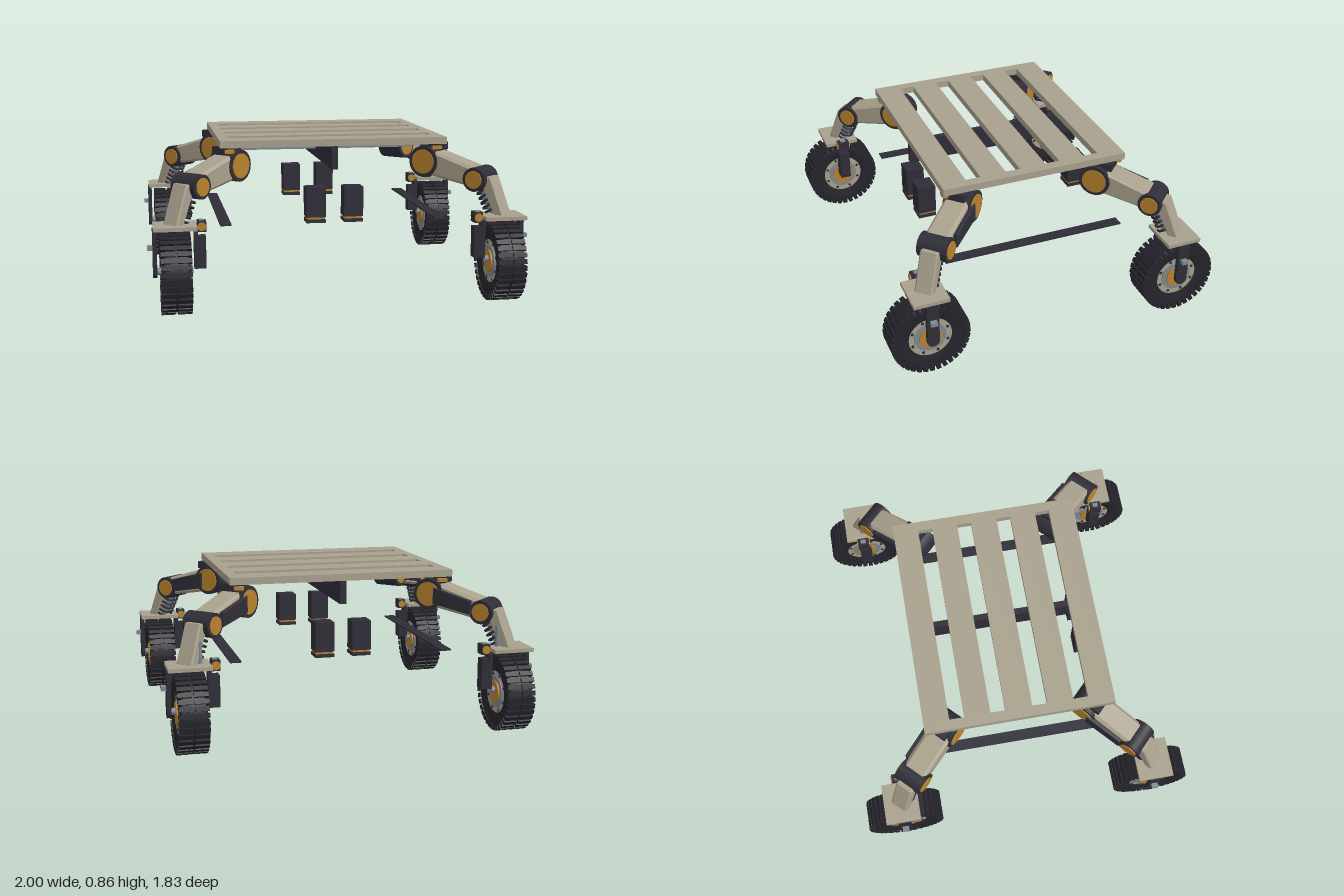
import * as THREE from 'three';

const mat = (name, color) => {
  const m = new THREE.MeshStandardMaterial({ color });
  m.name = name;
  return m;
};

export function createModel() {
  const beige = mat('beige panel', 0xa9a18d);
  const dark = mat('dark metal', 0x2f2e38);
  const rubber = mat('black rubber', 0x25242c);
  const gold = mat('gold cap', 0xb8822e);
  const steel = mat('blue grey steel', 0x7d8890);
  const model = new THREE.Group();
  model.name = 'rover';

  const add = (parent, name, geo, material, x = 0, y = 0, z = 0) => {
    const mesh = new THREE.Mesh(geo, material);
    mesh.name = name;
    mesh.position.set(x, y, z);
    parent.add(mesh);
    return mesh;
  };
  const box = (w, h, d) => new THREE.BoxGeometry(w, h, d);
  const cylX = (r, len, n = 32) => new THREE.CylinderGeometry(r, r, len, n).rotateZ(Math.PI / 2);
  const cylZ = (r, len, n = 32) => new THREE.CylinderGeometry(r, r, len, n).rotateX(Math.PI / 2);
  const rect = (C, x0, y0, x1, y1) => {
    const s = new C();
    s.moveTo(x0, y0);
    s.lineTo(x1, y0);
    s.lineTo(x1, y1);
    s.lineTo(x0, y1);
    s.closePath();
    return s;
  };
  // side profile extruded across, with bevelled edges
  const slab = (pts, width, bevel) => {
    const shape = new THREE.Shape(pts.map(p => new THREE.Vector2(...p)));
    const depth = width - 2 * bevel;
    return new THREE.ExtrudeGeometry(shape, {
      depth, bevelThickness: bevel, bevelSize: bevel, bevelOffset: -bevel, bevelSegments: 1,
    }).translate(0, 0, -depth / 2);
  };

  // Slotted deck
  const deckShape = rect(THREE.Shape, -0.61, -0.51, 0.61, 0.51);
  for (const c of [-0.332, -0.112, 0.112, 0.332]) {
    deckShape.holes.push(rect(THREE.Path, -0.555, c - 0.04, 0.555, c + 0.04));
  }
  add(model, 'deck', new THREE.ExtrudeGeometry(deckShape, { depth: 0.038, bevelEnabled: false })
    .rotateX(-Math.PI / 2), beige, 0, 0.817, 0);
  add(model, 'centreBeam', box(0.034, 0.127, 1.0), dark, 0, 0.754, 0);

  // Under-deck rails, hanging boxes and side strips
  for (const sx of [-1, 1]) {
    add(model, 'sideStrip', box(0.06, 0.008, 1.02), dark, sx * 0.585, 0.409, 0);
    for (const sz of [-1, 1]) {
      add(model, 'crossRail', box(0.42, 0.026, 0.03), steel, sx * 0.27, 0.785, sz * 0.22);
      add(model, 'batteryBox', box(0.104, 0.16, 0.1), dark, sx * 0.102, 0.515, sz * 0.455);
      add(model, 'batteryTrim', box(0.094, 0.012, 0.09), gold, sx * 0.102, 0.43, sz * 0.455);
      add(model, 'batteryBase', box(0.104, 0.018, 0.1), dark, sx * 0.102, 0.414, sz * 0.455);
    }
  }

  // Wheel with its axle along x
  const tyrePts = [[0.115, -0.06], [0.17, -0.072], [0.192, -0.066], [0.198, -0.05],
    [0.198, 0.05], [0.192, 0.066], [0.17, 0.072], [0.115, 0.06]];
  const tyreGeo = new THREE.LatheGeometry(tyrePts.map(p => new THREE.Vector2(...p)), 64)
    .rotateZ(Math.PI / 2);
  const lugGeo = box(0.072, 0.03, 0.024);
  const makeWheel = () => {
    const wheel = new THREE.Group();
    wheel.name = 'wheel';
    const tyre = add(wheel, 'tyre', tyreGeo, rubber);
    tyre.material = tyreMaterial;
    const lugs = 36;
    for (let i = 0; i < lugs; i++) {
      for (const side of [-1, 1]) {
        const a = (i / lugs) * Math.PI * 2;
        const lug = add(wheel, 'treadLug', lugGeo, rubber,
          side * 0.041, Math.cos(a) * 0.195, Math.sin(a) * 0.195);
        lug.rotation.x = a;
      }
    }
    add(wheel, 'rim', cylX(0.118, 0.11, 48), beige);
    add(wheel, 'rimRing', cylX(0.085, 0.122, 40), steel);
    add(wheel, 'hub', cylX(0.06, 0.14), gold);
    for (let i = 0; i < 8; i++) {
      const a = ((i + 0.5) / 8) * Math.PI * 2;
      add(wheel, 'rimBolt', cylX(0.008, 0.118, 10), dark, 0, Math.cos(a) * 0.101, Math.sin(a) * 0.101);
    }
    return wheel;
  };
  const tyreMaterial = rubber;
  tyreMaterial.side = THREE.DoubleSide;

  // Coil spring between two points of the leg plane
  const top = new THREE.Vector3(0.985, 0.61, 0), foot = new THREE.Vector3(1.06, 0.46, 0);
  const dir = foot.clone().sub(top);
  const across = new THREE.Vector3(-dir.y, dir.x, 0).normalize();
  const turns = 6, coilPts = [];
  for (let i = 0; i <= turns * 12; i++) {
    const a = (i / 12) * Math.PI * 2;
    coilPts.push(top.clone().addScaledVector(dir, i / (turns * 12))
      .addScaledVector(across, Math.cos(a) * 0.04)
      .add(new THREE.Vector3(0, 0, Math.sin(a) * 0.04)));
  }
  const coilGeo = new THREE.TubeGeometry(new THREE.CatmullRomCurve3(coilPts), 140, 0.007, 6);
  const damperGeo = new THREE.TubeGeometry(new THREE.LineCurve3(top, foot), 1, 0.018, 12);

  const armGeo = slab([[0.68, 0.645], [0.97, 0.595], [0.96, 0.705], [0.665, 0.79]], 0.135, 0.015);
  const shinGeo = slab([[1.085, 0.455], [1.14, 0.455], [1.06, 0.66], [0.985, 0.66]], 0.1, 0.008);
  const guardGeo = slab([[0.7, 0.665], [0.92, 0.625], [0.92, 0.7], [0.7, 0.755]], 0.022, 0.003);

  for (const sx of [-1, 1]) for (const sz of [-1, 1]) {
    // Diagonal leg, local x pointing outwards
    const leg = new THREE.Group();
    leg.name = 'leg';
    leg.position.set(sx * 0.08, 0, -sz * 0.08);
    leg.rotation.y = -Math.atan2(sz, sx);
    model.add(leg);
    for (const [name, s, y, r, len, cap] of [
      ['shoulder', 0.665, 0.715, 0.085, 0.15, 0.066],
      ['knee', 0.976, 0.642, 0.064, 0.16, 0.047],
    ]) {
      add(leg, name, cylZ(r, len, 40), dark, s, y, 0);
      add(leg, name + 'Cap', cylZ(cap, len + 0.012), gold, s, y, 0);
    }
    add(leg, 'upperArm', armGeo, beige);
    add(leg, 'armGuard', guardGeo, dark, 0, 0, -sx * 0.08);
    add(leg, 'lowerArm', shinGeo, beige);
    add(leg, 'coilSpring', coilGeo, dark);
    add(leg, 'damper', damperGeo, steel);
    add(leg, 'deckBracket', box(0.12, 0.04, 0.1), dark, 0.69, 0.797, 0);
    add(model, 'bracketClip', box(0.05, 0.018, 0.03), gold, sx * 0.56, 0.797, sz * 0.49);

    // Steering fork and wheel
    const fork = new THREE.Group();
    fork.name = 'fork';
    fork.position.set(sx * 0.86, 0, sz * 0.705);
    model.add(fork);
    add(fork, 'forkPlate', box(0.22, 0.02, 0.19), beige, 0, 0.452, 0);
    add(fork, 'outerBlade', box(0.022, 0.225, 0.065), dark, sx * 0.103, 0.33, 0);
    add(fork, 'outerBladeTip', cylX(0.0325, 0.022, 24), dark, sx * 0.103, 0.222, 0);
    add(fork, 'axle', cylX(0.018, 0.2, 20), steel, sx * 0.01, 0.222, 0);
    add(fork, 'bladePin', box(0.04, 0.022, 0.035), steel, sx * 0.12, 0.345, 0);
    add(fork, 'innerBlade', box(0.02, 0.21, 0.065), dark, -sx * 0.105, 0.34, 0);
    add(fork, 'motor', box(0.04, 0.165, 0.06), dark, -sx * 0.135, 0.318, 0);
    add(fork, 'motorHousing', box(0.045, 0.055, 0.065), dark, -sx * 0.135, 0.452, 0);
    add(fork, 'motorCap', cylZ(0.022, 0.076, 20), gold, -sx * 0.135, 0.452, 0);
    add(fork, 'motorPlate', box(0.024, 0.008, 0.03), steel, -sx * 0.135, 0.481, 0);
    if (sz < 0) {
      add(fork, 'sensorRod', new THREE.CylinderGeometry(0.012, 0.012, 0.115, 12), steel,
        -sx * 0.06, 0.515, 0);
    }
    const wheel = makeWheel();
    wheel.position.y = 0.21;
    fork.add(wheel);
  }
  return model;
}
